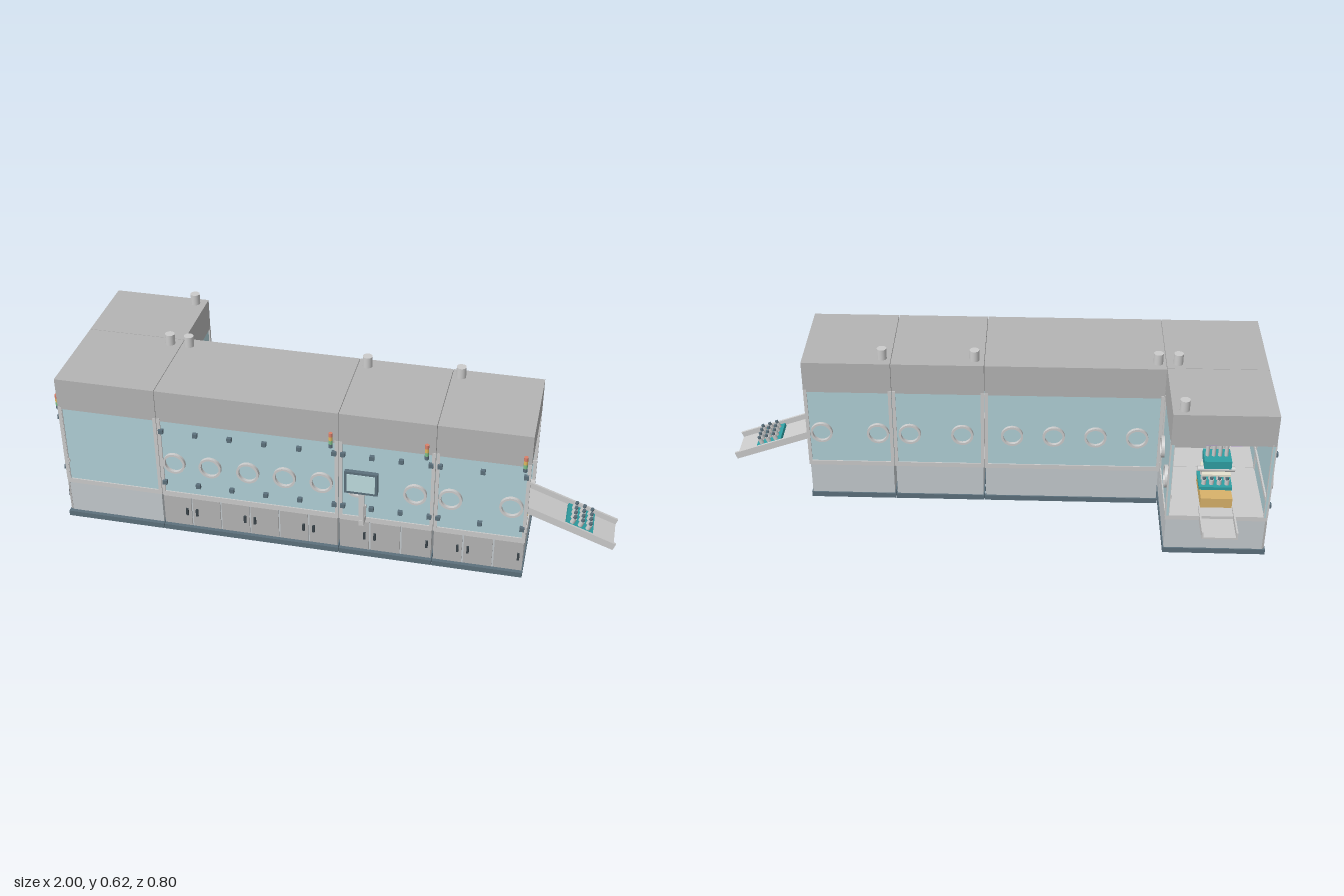
import * as THREE from 'three';

const mat = (c) => new THREE.MeshStandardMaterial({ color: c });
const M = {
  grey: mat(0xcccccc), steel: mat(0xb4b4b4), cabinet: mat(0xc4cace), glass: mat(0xb0d0d7), dark: mat(0x5c707c),
  black: mat(0x3a444a), teal: mat(0x2f9fa3), tan: mat(0xd8b26a), purple: mat(0xb39ccf), screen: mat(0xbfdde0),
  red: mat(0xd9806a), amber: mat(0xe0b860), green: mat(0x7fc08a), cream: mat(0xe6e2d0),
};

function add(parent, name, geo, m, x = 0, y = 0, z = 0) {
  const mesh = new THREE.Mesh(geo, m);
  mesh.name = name;
  mesh.position.set(x, y, z);
  parent.add(mesh);
  return mesh;
}
// Box given by its minimum and maximum on each axis
function box(parent, name, m, x0, x1, y0, y1, z0, z1) {
  return add(parent, name, new THREE.BoxGeometry(x1 - x0, y1 - y0, z1 - z0), m,
    (x0 + x1) / 2, (y0 + y1) / 2, (z0 + z1) / 2);
}
function cyl(parent, name, m, r, y0, y1, x, z, sides = 32) {
  return add(parent, name, new THREE.CylinderGeometry(r, r, y1 - y0, sides), m, x, (y0 + y1) / 2, z);
}
function group(parent, name, x = 0, y = 0, z = 0, ry = 0) {
  const g = new THREE.Group();
  g.name = name;
  g.position.set(x, y, z);
  g.rotation.y = ry;
  parent.add(g);
  return g;
}

// Flat ring around a glove port
const ringShape = new THREE.Shape().absarc(0, 0, 0.04, 0, Math.PI * 2);
ringShape.holes.push(new THREE.Path().absarc(0, 0, 0.032, 0, Math.PI * 2, true));
const ringGeo = new THREE.ExtrudeGeometry(ringShape, { depth: 0.014, bevelEnabled: false, curveSegments: 24 });

// One bay of a wall: local x runs along it, local z points outwards
function bay(wall, a, b, ports, doors, latches) {
  box(wall, 'glassPane', M.glass, a, b, 0.16, 0.46, -0.012, -0.004);
  for (const [p, q] of [[a, a + 0.012], [b - 0.012, b]]) box(wall, 'framePost', M.grey, p, q, 0.16, 0.47, -0.014, 0.001);
  box(wall, 'innerRail', M.grey, a, b, 0.235, 0.25, -0.018, -0.012);
  for (const x of ports) add(wall, 'glovePort', ringGeo, M.grey, x, 0.29, -0.006);
  if (latches) {
    const n = Math.round((b - a) / 0.13);
    for (let i = 0; i <= n; i++) {
      const x = a + 0.014 + (b - a - 0.028) * i / n;
      for (const y of [0.205, 0.42]) box(wall, 'latch', M.dark, x - 0.008, x + 0.008, y - 0.008, y + 0.008, -0.004, 0.009);
    }
  }
  // Cupboard doors with handles in pairs
  const w = (b - a) / doors;
  for (let i = 0; i < doors; i++) {
    const x = a + w * i;
    box(wall, 'cupboardDoor', M.steel, x + 0.003, x + w - 0.003, 0.024, 0.143, -0.006, 0.001);
    const h = i % 2 ? x + 0.018 : x + w - 0.018;
    box(wall, 'doorHandle', M.black, h - 0.004, h + 0.004, 0.072, 0.1, 0.001, 0.008);
  }
}

function signalLight(parent, x) {
  const g = group(parent, 'signalLight', x, 0, 0.008);
  [M.dark, M.green, M.amber, M.red].forEach((m, i) =>
    cyl(g, 'lightSegment', m, 0.007, 0.447 + i * 0.0145, 0.4615 + i * 0.0145, 0, 0, 16));
}

// Operator screen on a bent arm
function monitor(parent, x) {
  const g = group(parent, 'monitor', x);
  box(g, 'armFoot', M.grey, -0.009, 0.009, 0.16, 0.22, 0, 0.012);
  box(g, 'arm', M.grey, -0.009, 0.009, 0.162, 0.182, 0, 0.046);
  box(g, 'armPost', M.grey, -0.009, 0.009, 0.162, 0.31, 0.032, 0.044);
  box(g, 'screenHousing', M.dark, -0.057, 0.057, 0.3, 0.388, 0.038, 0.053);
  box(g, 'screen', M.screen, -0.048, 0.048, 0.31, 0.379, 0.052, 0.055);
}

// Tray carrying a grid of capped vials, standing on y = 0
function vialTray(parent, nx, nz, x, y, z) {
  const g = group(parent, 'vialTray', x, y, z);
  const s = 0.029;
  box(g, 'tray', M.teal, -nx * s / 2 - 0.006, nx * s / 2 + 0.006, 0, 0.012, -nz * s / 2, nz * s / 2);
  for (let i = 0; i < nx; i++) for (let j = 0; j < nz; j++) {
    const px = (i - (nx - 1) / 2) * s, pz = (j - (nz - 1) / 2) * s * 0.93;
    cyl(g, 'vial', M.grey, 0.0085, 0.01, 0.032, px, pz, 14);
    cyl(g, 'vialCap', M.dark, 0.006, 0.032, 0.042, px, pz, 14);
  }
}

// Filling station: tray, rollers, needle bar and overhead beam; the column stands aside
function fillingStation(parent, x, z, ry) {
  const g = group(parent, 'fillingStation', x, 0, z, ry);
  box(g, 'bench', M.tan, -0.06, 0.1, 0.165, 0.203, -0.055, 0.055);
  vialTray(g, 3, 4, 0, 0.204, 0);
  box(g, 'guidePlate', M.cream, -0.04, 0.04, 0.255, 0.263, -0.05, 0.05);
  const roller = cyl(g, 'roller', M.grey, 0.01, -0.065, 0.065, 0, 0, 20);
  roller.rotation.x = Math.PI / 2;
  roller.position.set(0.02, 0.275, 0);
  box(g, 'needlePlate', M.teal, -0.04, 0.04, 0.288, 0.318, -0.05, 0.045);
  for (let i = 0; i < 4; i++) cyl(g, 'needle', M.grey, 0.007, 0.318, 0.376, 0, (i - 1.5) * 0.022, 14);
  box(g, 'needleBar', M.purple, -0.025, 0.025, 0.375, 0.398, -0.09, 0.075);
  box(g, 'overheadBeam', M.steel, -0.05, 0.05, 0.41, 0.46, -0.095, 0.09);
  box(g, 'standPost', M.grey, -0.07, -0.045, 0.16, 0.46, -0.03, 0.03);
}

function bowlFeeder(parent, x, z) {
  const g = group(parent, 'bowlFeeder', x, 0, z);
  cyl(g, 'column', M.grey, 0.034, 0.16, 0.292, 0, 0);
  cyl(g, 'drive', M.dark, 0.054, 0.292, 0.32, 0, 0);
  cyl(g, 'bowl', M.grey, 0.075, 0.32, 0.395, 0, 0, 40);
  box(g, 'track', M.purple, -0.03, 0.03, 0.395, 0.402, -0.04, 0.07);
}

export function createModel() {
  const root = new THREE.Group();
  root.name = 'isolatorLine';

  // Plinth, cupboard, worktop and roof of every bay: x0, x1, z0, z1
  const bays = [[-0.945, -0.59, 0, 0.345], [-0.945, -0.59, -0.298, -0.002], [-0.588, 0.049, -0.01, 0.345],
    [0.051, 0.379, -0.01, 0.345], [0.381, 0.695, -0.01, 0.345]];
  bays.forEach(([x0, x1, z0, z1], i) => {
    const g = group(root, 'bay');
    const front = i === 1 ? 0 : 0.01, side = i < 2 ? 0.006 : 0;
    box(g, 'plinth', M.dark, x0 - side, x1, 0, 0.02, z0 - 0.001, z1 + front);
    box(g, 'cupboard', M.cabinet, x0 + 0.004, x1 - 0.004, 0.02, 0.145, z0 + 0.004, z1 - 0.004);
    box(g, 'worktop', M.grey, x0, x1, 0.145, 0.163, z0, z1);
    box(g, 'roof', M.steel, x0, x1, 0.46, 0.58, z0, z1);
  });

  // Front wall
  const front = group(root, 'frontWall', 0, 0, 0.345);
  bay(front, -0.945, -0.59, [], 0, false);
  bay(front, -0.588, 0.049, [-0.535, -0.405, -0.27, -0.14, -0.01], 6, true);
  bay(front, 0.051, 0.379, [0.115, 0.315], 3, true);
  bay(front, 0.381, 0.695, [0.435, 0.64], 3, true);
  [0.025, 0.35, 0.675].forEach((x) => signalLight(front, x));
  monitor(front, 0.138);

  // Back wall, local x mirrored
  const back = group(root, 'backWall', 0, 0, -0.01, Math.PI);
  bay(back, -0.049, 0.588, [0.05, 0.2, 0.35, 0.5], 0, false);
  bay(back, -0.379, -0.051, [-0.32, -0.13], 0, false);
  bay(back, -0.695, -0.381, [-0.64, -0.435], 0, false);

  // Left-hand end wall, local x follows world z
  const end = group(root, 'endWall', -0.945, 0, 0, -Math.PI / 2);
  bay(end, -0.298, -0.002, [-0.24, -0.09], 3, true);
  bay(end, 0, 0.345, [0.06, 0.27], 3, true);
  signalLight(end, 0.325);
  signalLight(end, -0.02);
  monitor(end, 0.17);

  // Inner wall of the rear wing
  const inner = group(root, 'wingWall', -0.59, 0, 0, Math.PI / 2);
  bay(inner, 0.002, 0.298, [0.06, 0.24], 0, false);

  // Exhaust stubs
  for (const [x, z] of [[-0.63, 0.033], [-0.56, 0.033], [0.085, 0.033], [0.412, 0.033], [-0.63, -0.265]])
    cyl(root, 'exhaustStub', M.grey, 0.017, 0.58, 0.62, x, z, 24);

  // Machinery inside
  box(root, 'conveyor', M.steel, -0.85, 0.36, 0.163, 0.19, 0.12, 0.22);
  fillingStation(root, 0.48, 0.17, 0);
  bowlFeeder(root, 0.59, 0.09);
  fillingStation(root, -0.77, -0.15, Math.PI / 2);
  box(root, 'outletTable', M.tan, 0.58, 0.69, 0.163, 0.2, 0.125, 0.22);

  // Sloping outlet chute with its tray
  const chute = group(root, 'outletChute', 0.69, 0.2, 0.173);
  chute.rotation.z = -0.346;
  box(chute, 'chuteFloor', M.grey, -0.02, 0.32, -0.006, 0, -0.072, 0.072);
  for (const s of [-1, 1]) box(chute, 'chuteSide', M.grey, -0.02, 0.32, -0.006, 0.021, s * 0.069 - 0.004, s * 0.069 + 0.004);
  vialTray(chute, 3, 4, 0.187, 0, 0);

  // Flat inlet chute of the rear wing
  const inlet = group(root, 'inletChute', -0.77, 0, 0);
  box(inlet, 'chuteFloor', M.grey, -0.062, 0.062, 0.145, 0.152, -0.404, -0.25);
  for (const s of [-1, 1]) box(inlet, 'chuteSide', M.grey, s * 0.059 - 0.003, s * 0.059 + 0.003, 0.145, 0.173, -0.404, -0.25);
  return root;
}
